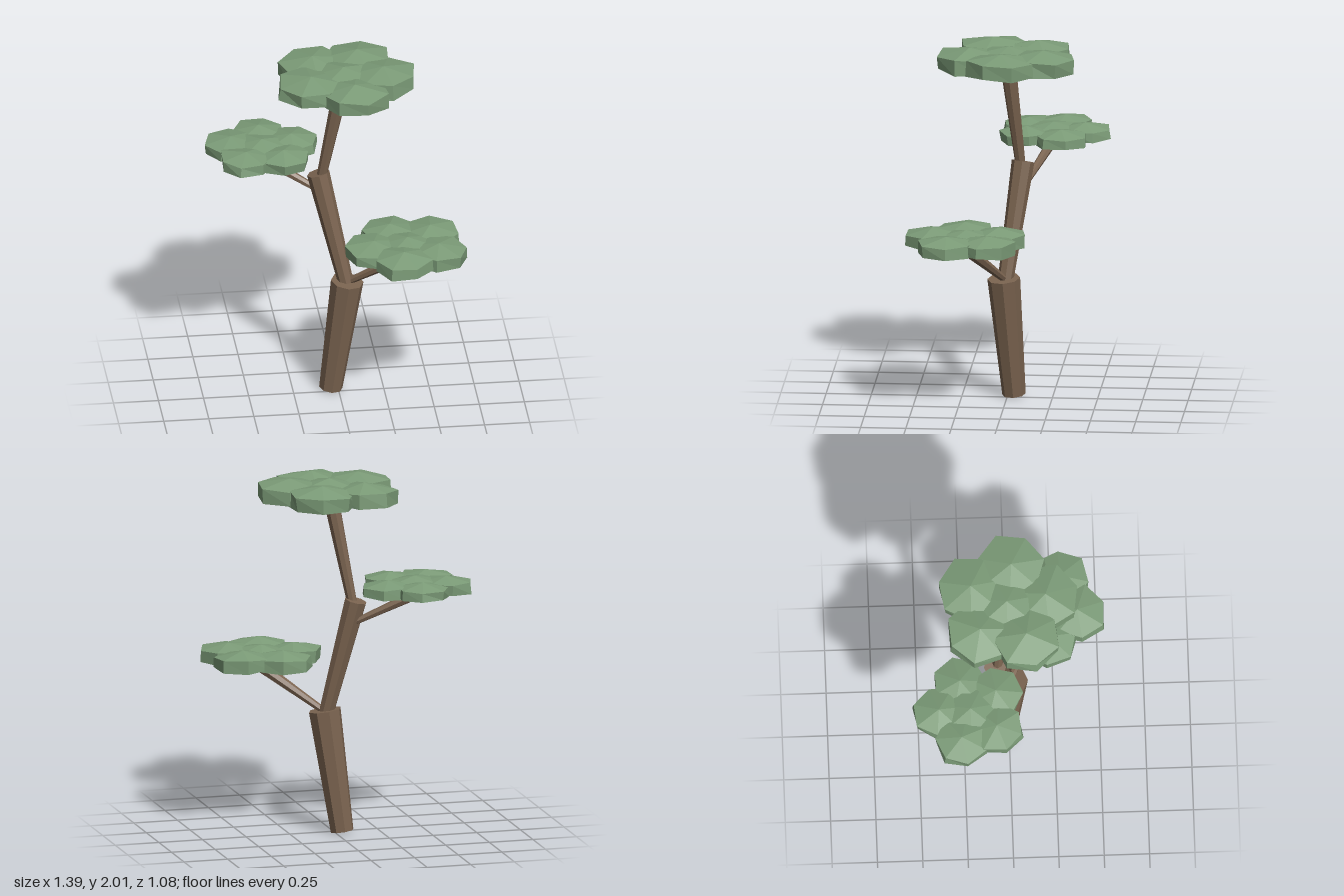
import * as THREE from 'three';

const bark = new THREE.MeshStandardMaterial({ color: 0x7b6450, flatShading: true });
const leaf = new THREE.MeshStandardMaterial({ color: 0x7c9c78, flatShading: true });

// Small seeded generator, returns -1..1
let seed = 11;
function rand() {
  seed = (seed * 16807) % 2147483647;
  return (seed / 2147483647) * 2 - 1;
}

// Flared cylinder from point a to point b
function limb(name, a, b, r0, r1, sides) {
  const from = new THREE.Vector3(...a);
  const dir = new THREE.Vector3(...b).sub(from);
  const geo = new THREE.CylinderGeometry(r1, r0, dir.length(), sides);
  const mesh = new THREE.Mesh(geo, bark);
  mesh.name = name;
  mesh.position.copy(from).addScaledVector(dir, 0.5);
  mesh.quaternion.setFromUnitVectors(new THREE.Vector3(0, 1, 0), dir.normalize());
  return mesh;
}

// Flattened seven-sided leaf clump with slightly uneven rings
function clump(ringRadius, halfHeight) {
  const sides = 7, rows = 3;
  const geo = new THREE.SphereGeometry(1, sides, rows);
  const p = geo.attributes.position;
  const spread = ringRadius / Math.sin(Math.PI / rows);
  for (let row = 0; row <= rows; row++) {
    const pole = row === 0 || row === rows;
    let first;
    for (let i = 0; i <= sides; i++) {
      const k = row * (sides + 1) + i;
      let jitter = [1 + rand() * 0.05, rand() * 0.12];
      if (i === 0) first = jitter;
      if (i === sides) jitter = first; // closes the seam
      if (pole) jitter = [1, 0];
      p.setXYZ(k, p.getX(k) * spread * jitter[0],
        (p.getY(k) + jitter[1]) * halfHeight, p.getZ(k) * spread * jitter[0]);
    }
  }
  return new THREE.Mesh(geo, leaf);
}

// One clump in the middle and five around it
function canopy(name, center, reach, ringRadius, halfHeight, startDeg) {
  const group = new THREE.Group();
  group.name = name;
  group.position.set(...center);
  const middle = clump(ringRadius * 1.1, halfHeight * 1.1);
  middle.name = 'middleClump';
  middle.position.y = -halfHeight * 0.1;
  group.add(middle);
  for (let i = 0; i < 5; i++) {
    const a = THREE.MathUtils.degToRad(startDeg + i * 72);
    const outer = clump(ringRadius, halfHeight);
    outer.name = 'outerClump';
    outer.position.set(Math.cos(a) * reach, rand() * halfHeight * 0.08, Math.sin(a) * reach);
    outer.rotation.y = rand() * Math.PI;
    group.add(outer);
  }
  return group;
}

export function createModel() {
  seed = 11;
  const tree = new THREE.Group();
  tree.name = 'tree';

  // Zigzag trunk, each section wider at its top
  tree.add(
    limb('lowerTrunk', [-0.04, 0.008, -0.035], [0.045, 0.685, 0.015], 0.065, 0.091, 8),
    limb('middleTrunk', [0.038, 0.675, 0.005], [-0.105, 1.315, -0.08], 0.043, 0.063, 8),
    limb('upperTrunk', [-0.088, 1.30, -0.067], [0.003, 1.81, -0.015], 0.028, 0.042, 8)
  );

  // Side branches
  tree.add(
    limb('leftBranch', [0.045, 0.675, 0.005], [0.36, 0.91, 0.18], 0.019, 0.033, 7),
    limb('rightBranch', [-0.10, 1.20, -0.10], [-0.39, 1.35, -0.215], 0.018, 0.028, 7)
  );

  // Flat leaf canopies
  tree.add(
    canopy('topCanopy', [0.028, 1.923, -0.012], 0.218, 0.187, 0.076, 8),
    canopy('leftCanopy', [0.357, 0.969, 0.2], 0.19, 0.16, 0.065, 30),
    canopy('rightCanopy', [-0.4, 1.413, -0.225], 0.175, 0.147, 0.056, 54)
  );
  return tree;
}
